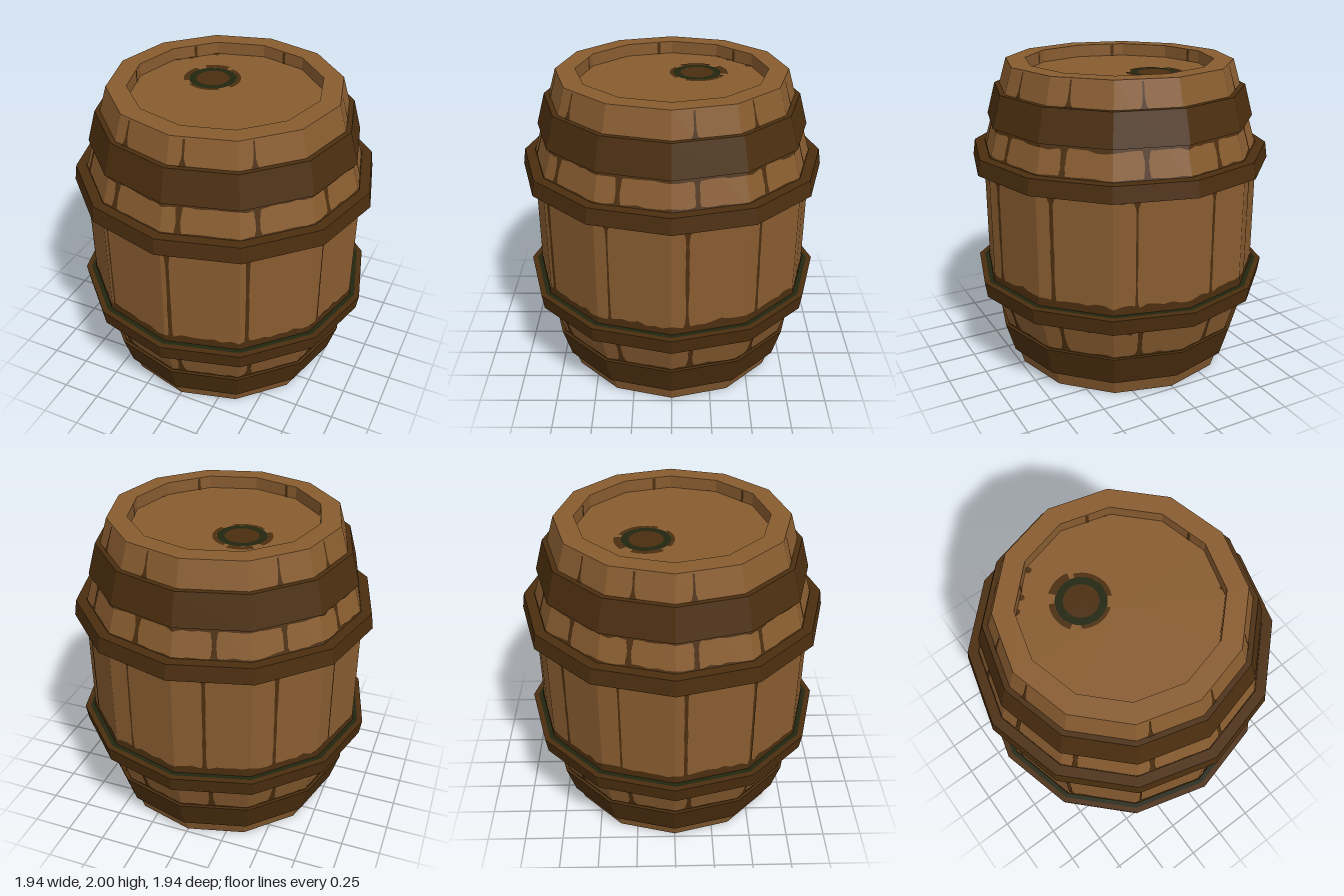
import * as THREE from 'three';
import { mergeGeometries } from 'three/addons/utils/BufferGeometryUtils.js';

const SIDES = 12;
const STEP = 360 / SIDES;
const rad = THREE.MathUtils.degToRad;

const wood = new THREE.MeshStandardMaterial({ color: 0x885c30 });
wood.name = 'wood';
const darkWood = new THREE.MeshStandardMaterial({ color: 0x4b2e0f });
darkWood.name = 'dark brown';
const shade = new THREE.MeshStandardMaterial({ color: 0x22260f });
shade.name = 'dark green';

// Seam angles between the planks, in degrees from the front towards +x
const SEAMS = [2.5, 33, 65, 96, 126, 159, 192, 220, 248, 274, 301.5, 332];

// Barrel radius at the corners of its cross-section
function radiusAt(y) {
  if (y < 0.58) return 0.725 + (0.9 - 0.725) * (y / 0.58);
  if (y > 1.41) return 0.9 - (0.9 - 0.725) * ((y - 1.41) / 0.59);
  return 0.9;
}

// Point on the flat-sided wall with corner radius r
function onWall(angle, y, r) {
  const t = ((angle % STEP) + STEP) % STEP;
  const d = r * Math.cos(rad(STEP / 2)) / Math.cos(rad(t - STEP / 2));
  return [d * Math.sin(rad(angle)), y, d * Math.cos(rad(angle))];
}

function makeRandom(seed) {
  return () => {
    seed = (seed * 16807) % 2147483647;
    return seed / 2147483647;
  };
}

// Faceted mesh turned around the y axis from [radius, y] points
function turned(name, points, material) {
  const lathe = new THREE.LatheGeometry(points.map(([r, y]) => new THREE.Vector2(r, y)), SIDES);
  const geometry = lathe.toNonIndexed();
  geometry.computeVertexNormals();
  const mesh = new THREE.Mesh(geometry, material);
  mesh.name = name;
  return mesh;
}

// Sheet of quads; fn(i, j) gives the corner at column i, row j
function sheet(columns, rows, fn, flip = false) {
  const positions = [];
  for (let i = 0; i < columns; i++) {
    for (let j = 0; j < rows; j++) {
      const a = fn(i, j), b = fn(i + 1, j), c = fn(i + 1, j + 1), d = fn(i, j + 1);
      positions.push(...(flip ? [a, c, b, a, d, c] : [a, b, c, a, c, d]).flat());
    }
  }
  const geometry = new THREE.BufferGeometry();
  geometry.setAttribute('position', new THREE.Float32BufferAttribute(positions, 3));
  geometry.computeVertexNormals();
  return geometry;
}

// Tapered seam from y0 to y1 that flares at its ends
function seam(angle, y0, y1, width, flare0, flare1, random) {
  const rows = 12;
  const edges = [];
  for (let j = 0; j <= rows; j++) {
    const y = THREE.MathUtils.lerp(y0, y1, j / rows);
    const half = width * (0.75 + 0.5 * random())
      + flare0 * Math.exp(-(y - y0) / 0.025) + flare1 * Math.exp(-(y1 - y) / 0.025);
    edges.push([y, half / radiusAt(y) * 180 / Math.PI]);
  }
  return sheet(1, rows, (i, j) => {
    const [y, half] = edges[j];
    return onWall(angle + (i ? half : -half), y, radiusAt(y) + 0.004);
  });
}

// Ragged stain along a hoop: fixed edge at y, loose edge at y + depth
function stain(y, depth, ragged, drip, random) {
  const columns = SIDES * 9;
  const edge = [];
  for (let i = 0; i < columns; i++) {
    const extra = random() < 0.12 ? drip : 0;
    edge.push(y + depth + Math.sign(depth) * ((random() - 0.5) * ragged + extra));
  }
  edge.push(edge[0]);
  return sheet(columns, 1, (i, j) => {
    const h = j ? edge[i] : y;
    return onWall(i * 360 / columns, h, radiusAt(h) + 0.005);
  }, depth < 0);
}

function merged(name, geometries, material) {
  const mesh = new THREE.Mesh(mergeGeometries(geometries), material);
  mesh.name = name;
  return mesh;
}

// Hoop with a dark underside
function hoop(name, y0, y1, r0, r1) {
  const group = new THREE.Group();
  group.name = name;
  const in0 = radiusAt(y0) - 0.01, in1 = radiusAt(y1) - 0.01;
  group.add(turned('hoopBand', [[r0, y0], [r1, y1], [in1, y1]], darkWood));
  group.add(turned('hoopUnderside', [[in0, y0], [r0, y0]], shade));
  return group;
}

// Flat disc, ring or arc lying on a level surface
function flat(geometry, x, y, z, down = false) {
  geometry.rotateX(down ? Math.PI / 2 : -Math.PI / 2);
  geometry.translate(x, y, z);
  const plain = geometry.toNonIndexed();
  plain.deleteAttribute('uv');
  return plain;
}

export function createModel() {
  const barrel = new THREE.Group();
  barrel.name = 'barrel';
  const random = makeRandom(71);

  // Staves with a recessed lid and base
  barrel.add(turned('barrelBody', [
    [0, 0.08], [0.6, 0.08], [0.6, 0], [0.725, 0], [0.9, 0.58],
    [0.9, 1.41], [0.725, 2], [0.6, 2], [0.6, 1.92], [0, 1.92],
  ], wood));

  // Four hoops
  barrel.add(hoop('lowerEndHoop', 0.11, 0.31, 0.785, 0.845));
  barrel.add(hoop('lowerMiddleHoop', 0.54, 0.64, 0.955, 0.97));
  barrel.add(hoop('upperMiddleHoop', 1.36, 1.46, 0.97, 0.955));
  barrel.add(hoop('upperEndHoop', 1.64, 1.84, 0.86, 0.805));
  barrel.add(turned('lowerHoopGap', [[0.935, 0.642], [0.895, 0.642]], shade));

  // Seams between planks
  const seams = [];
  SEAMS.forEach((angle, k) => {
    const thin = k % 3 === 2 ? 0.006 : 0.011;
    seams.push(seam(angle, 0.64, 1.36, thin, 0.03, 0.025, random));
    seams.push(seam(angle + 4, 1.46, 1.64, 0.013, 0.012, 0.03, random));
    seams.push(seam(angle + 2, 0.31, 0.54, 0.013, 0.03, 0.02, random));
    if (k % 4 !== 2) seams.push(seam(angle + 4, 1.84, 1.99, 0.006, 0.02, 0, random));
    // Marks inside the rim
    if (k % 2) {
      seams.push(sheet(1, 1, (i, j) => onWall(angle + 4 + i * 2, j ? 1.995 : 1.92, 0.597), true));
    }
  });
  barrel.add(merged('plankSeams', seams, darkWood));

  // Stains beside the hoops
  barrel.add(merged('hoopStains', [
    stain(0.64, 0.05, 0.025, 0.012, random),
    stain(1.36, -0.012, 0.012, 0.02, random),
    stain(1.64, -0.022, 0.01, 0.008, random),
    stain(1.46, 0.008, 0.008, 0.01, random),
    stain(0.54, -0.018, 0.014, 0.04, random),
    stain(0.31, 0.012, 0.01, 0.01, random),
  ], darkWood));

  // Bung in the lid
  const bx = -0.165, bz = -0.16;
  const lidY = 1.923;
  barrel.add(merged('bung', [flat(new THREE.CircleGeometry(0.105, 24), bx, lidY, bz)], darkWood));
  barrel.add(merged('bungRing', [flat(new THREE.RingGeometry(0.105, 0.152, 24), bx, lidY, bz)], shade));
  const marks = [[-25, 95, 0.178], [80, 50, 0.195], [150, 65, 0.185], [235, 75, 0.172]].map(
    ([start, length, r]) => flat(
      new THREE.RingGeometry(0.152, r, 14, 1, rad(start), rad(length)), bx, lidY, bz));

  // Small marks on the lid
  for (const [x, z, r] of [
    [-0.3, -0.5, 0.022], [-0.43, -0.38, 0.022], [-0.5, -0.32, 0.022], [0.49, -0.35, 0.016],
    [0.27, -0.53, 0.012], [0.53, 0.25, 0.012], [-0.47, 0.35, 0.01],
  ]) marks.push(flat(new THREE.CircleGeometry(r, 6), x, lidY, z));
  barrel.add(merged('lidMarks', marks, darkWood));

  // Dots around the bottom rim
  const dots = [];
  for (let k = 0; k < 24; k++) {
    const a = rad(k * 15 + 5);
    dots.push(flat(new THREE.CircleGeometry(0.01, 6), 0.665 * Math.sin(a), -0.002, 0.665 * Math.cos(a), true));
  }
  barrel.add(merged('bottomRimDots', dots, shade));

  return barrel;
}
